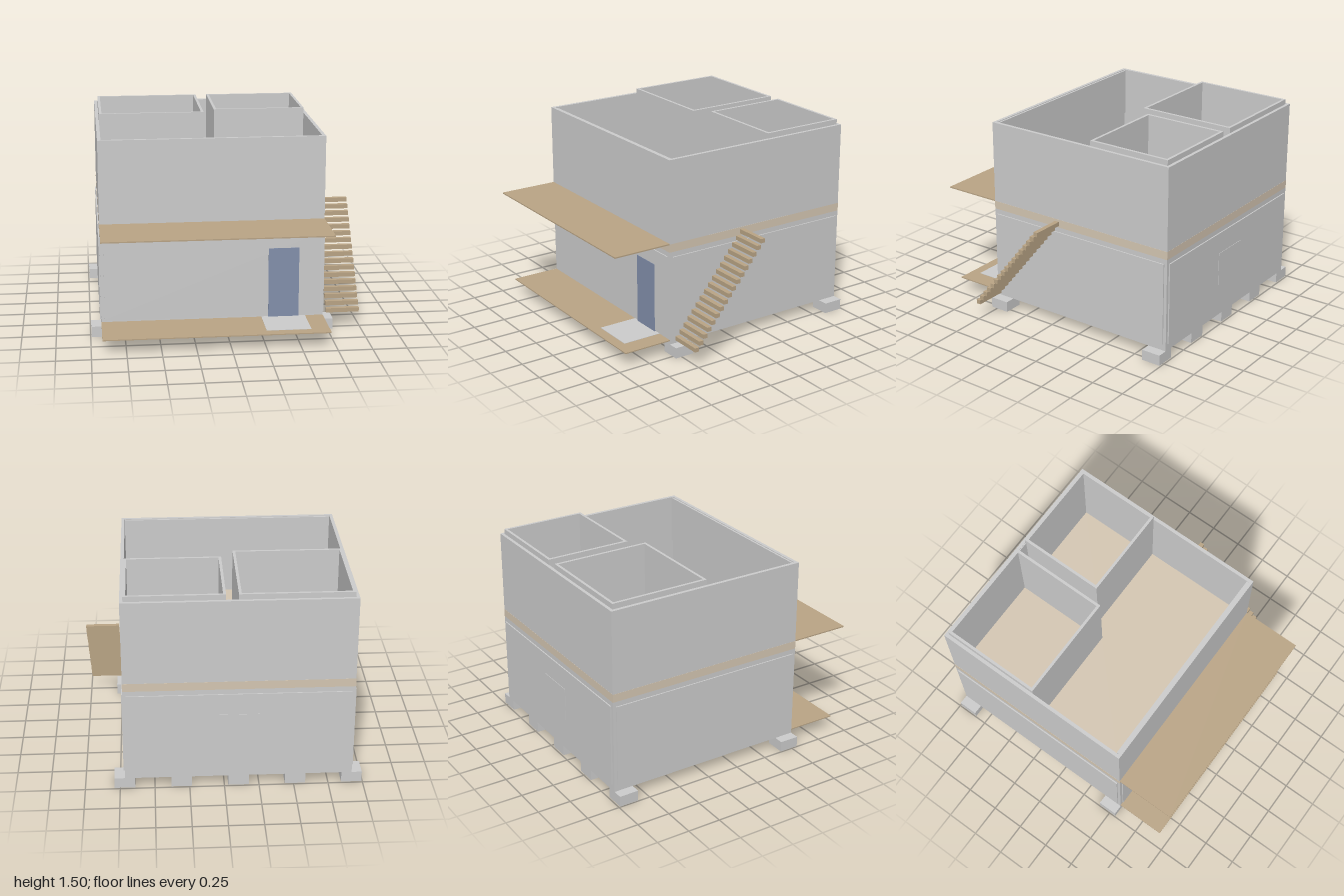
import * as THREE from 'three';

const material = (color) => new THREE.MeshStandardMaterial({ color });

export function createModel() {
  const house = new THREE.Group();
  house.name = 'house';
  const grey = material(0xcccccc);
  const wood = material(0xb9a485);
  const floorTan = material(0xd4c6b2);
  const doorBlue = material(0x828fab);

  const add = (name, geometry, mat) => {
    const mesh = new THREE.Mesh(geometry, mat);
    mesh.name = name;
    house.add(mesh);
    return mesh;
  };

  // Box given by its limits on each axis
  const block = (name, [x0, x1], [y0, y1], [z0, z1], mat = grey) => {
    const g = new THREE.BoxGeometry(x1 - x0, y1 - y0, z1 - z0);
    g.translate((x0 + x1) / 2, (y0 + y1) / 2, (z0 + z1) / 2);
    return add(name, g, mat);
  };

  // Rectangular ring of walls, open at top and bottom
  const rectangle = (path, x0, x1, z0, z1) => {
    path.moveTo(x0, -z1);
    path.lineTo(x1, -z1);
    path.lineTo(x1, -z0);
    path.lineTo(x0, -z0);
    path.closePath();
    return path;
  };
  const walls = (name, [x0, x1], [y0, y1], [z0, z1], t) => {
    const shape = rectangle(new THREE.Shape(), x0, x1, z0, z1);
    shape.holes.push(rectangle(new THREE.Path(), x0 + t, x1 - t, z0 + t, z1 - t));
    const g = new THREE.ExtrudeGeometry(shape, { depth: y1 - y0, bevelEnabled: false });
    g.rotateX(-Math.PI / 2);
    g.translate(0, y0, 0);
    return add(name, g, grey);
  };

  const X = [-0.92, 0.713];
  const Z = [-0.988, 0.55];

  // Foundation blocks, front and back rows
  for (let i = 0; i < 5; i++) {
    const x = -0.92 + i * 0.409;
    for (const z of [Z[0], Z[1] - 0.147]) {
      block('foundationBlock', [x - 0.074, x + 0.074], [0, 0.08], [z, z + 0.147]);
    }
  }

  // Outer walls and floors
  walls('outerWalls', X, [0.08, 1.465], Z, 0.025);
  block('groundFloor', [-0.897, 0.69], [0.082, 0.112], [-0.965, 0.527], floorTan);
  block('upperFloor', [X[0] - 0.001, X[1] + 0.001], [0.787, 0.848],
    [Z[0] - 0.001, Z[1] + 0.001], floorTan);

  // Thin cladding panels on the lower storey
  const panelY = [0.13, 0.75];
  block('leftPanel', [X[1], X[1] + 0.009], panelY, [-0.965, 0.527]);
  block('rightPanel', [X[0] - 0.009, X[0]], panelY, [-0.965, 0.527]);
  block('frontPanel', [-0.895, 0.69], panelY, [Z[1], Z[1] + 0.008]);
  block('backPanel', [-0.895, 0.69], panelY, [Z[0] - 0.009, Z[0]]);
  block('backWindow', [-0.25, 0.05], [0.34, 0.59], [-1, -0.995]);

  // Lining panels inside the upper storey
  block('frontLining', [-0.89, 0.688], [1.1, 1.46], [0.51, 0.526]);
  block('backLining', [-0.89, 0.688], [0.85, 1.46], [-0.964, -0.956]);

  // Two upper rooms rising just above the outer walls
  walls('largeRoom', [-0.893, -0.097], [0.84, 1.504], [-0.964, -0.218], 0.02);
  walls('smallRoom', [-0.01, 0.69], [0.84, 1.504], [-0.964, -0.318], 0.02);

  // Terrace, balcony, entrance pad and door
  block('terrace', X, [0.106, 0.114], [Z[1], 0.925], wood);
  block('balcony', X, [0.844, 0.853], [Z[1], 1], wood);
  block('entrancePad', [0.255, 0.58], [0.092, 0.116], [Z[1], 0.85]);
  block('door', [0.305, 0.53], [0.112, 0.64], [Z[1], 0.561], doorBlue);

  // Outside stair of separate treads
  const steps = 17;
  for (let i = 0; i < steps; i++) {
    const t = i / (steps - 1);
    const y = THREE.MathUtils.lerp(0.135, 0.832, t);
    const z = THREE.MathUtils.lerp(0.507, -0.057, t);
    block('stairTread', [0.744, 0.99], [y - 0.016, y + 0.016], [z - 0.017, z + 0.017], wood);
  }

  return house;
}
